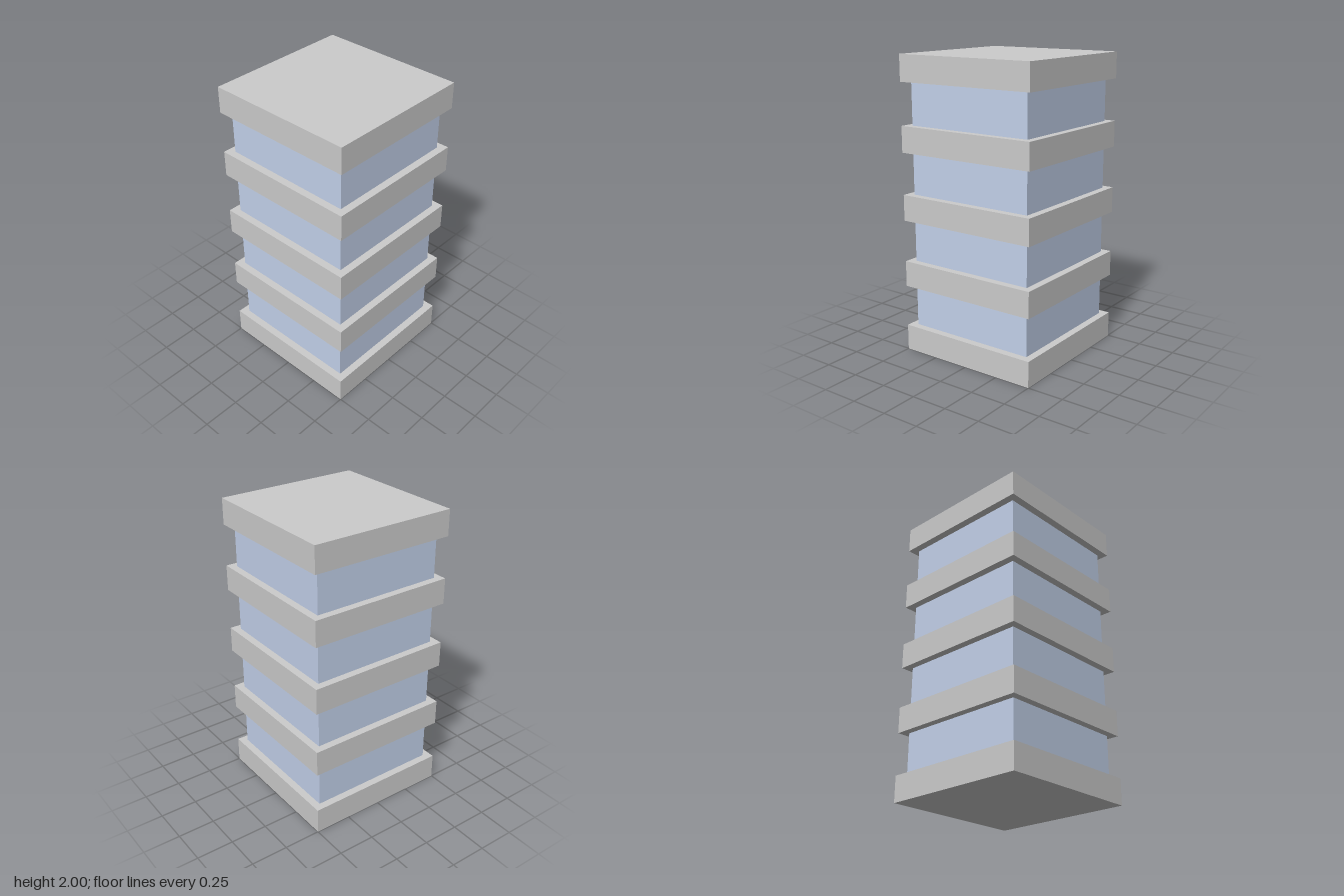
import * as THREE from 'three';

const FLOORS = 4;
const SLAB_HEIGHT = 0.175;
const PITCH = (2 - SLAB_HEIGHT) / FLOORS;
const SLAB_WIDTH = 1;
const GLASS_WIDTH = 0.9;

export function createModel() {
  const tower = new THREE.Group();
  tower.name = 'tower';

  const concrete = new THREE.MeshStandardMaterial({ color: 0xcccccc });
  const glass = new THREE.MeshStandardMaterial({ color: 0xc3d1ea });

  // Square block resting on the given height
  const addBlock = (name, width, height, bottom, material) => {
    const block = new THREE.Mesh(new THREE.BoxGeometry(width, height, width), material);
    block.name = name;
    block.position.y = bottom + height / 2;
    tower.add(block);
  };

  // Overhanging slabs, with a recessed glazed storey above each but the roof
  for (let i = 0; i <= FLOORS; i++) {
    const bottom = i * PITCH;
    const name = i === 0 ? 'baseSlab' : i === FLOORS ? 'roofSlab' : `floorSlab${i}`;
    addBlock(name, SLAB_WIDTH, SLAB_HEIGHT, bottom, concrete);
    if (i < FLOORS) {
      addBlock(`glazedStorey${i + 1}`, GLASS_WIDTH, PITCH - SLAB_HEIGHT, bottom + SLAB_HEIGHT, glass);
    }
  }
  return tower;
}
